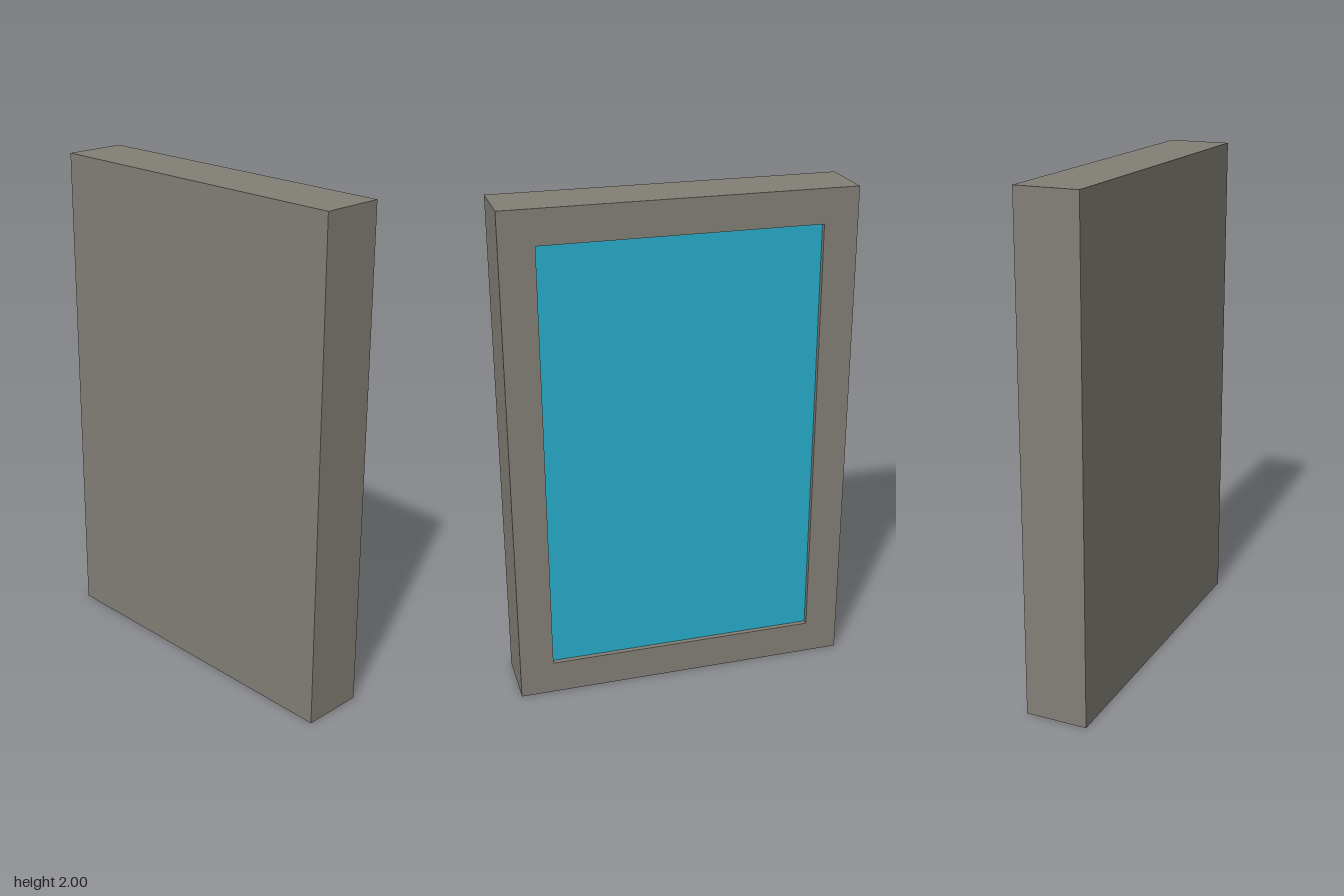
import * as THREE from 'three';

const HEIGHT = 2, HALF_WIDTH = 0.68, HALF_DEPTH = 0.125;
const BORDER = 0.135, RECESS = 0.02;

// Rectangle of four corners at a given x, counter-clockwise seen from +x
function rectangle(x, inset) {
  const z = HALF_WIDTH - inset, low = inset, high = HEIGHT - inset;
  return [[x, low, z], [x, low, -z], [x, high, -z], [x, high, z]];
}

// Casing skin: closed back, outer sides, front border, then the recess walls
function casingGeometry() {
  const loops = [
    rectangle(-HALF_DEPTH, 0),
    rectangle(HALF_DEPTH, 0),
    rectangle(HALF_DEPTH, BORDER),
    rectangle(HALF_DEPTH - RECESS, BORDER),
  ];
  const positions = [];
  const quad = (a, b, c, d) => positions.push(...a, ...b, ...c, ...a, ...c, ...d);

  const [p, q, r, s] = loops[0];
  quad(s, r, q, p);
  for (let i = 0; i < loops.length - 1; i++) {
    for (let j = 0; j < 4; j++) {
      const k = (j + 1) % 4;
      quad(loops[i][j], loops[i][k], loops[i + 1][k], loops[i + 1][j]);
    }
  }

  const geometry = new THREE.BufferGeometry();
  geometry.setAttribute('position', new THREE.Float32BufferAttribute(positions, 3));
  geometry.computeVertexNormals();
  return geometry;
}

export function createModel() {
  const model = new THREE.Group();
  model.name = 'framedPanel';

  const casing = new THREE.Mesh(
    casingGeometry(),
    new THREE.MeshStandardMaterial({ color: 0x827f76 })
  );
  casing.name = 'casing';
  model.add(casing);

  // Blue panel set back inside the border, facing +x
  const panel = new THREE.Mesh(
    new THREE.PlaneGeometry(2 * (HALF_WIDTH - BORDER), HEIGHT - 2 * BORDER),
    new THREE.MeshStandardMaterial({ color: 0x27acca })
  );
  panel.name = 'panel';
  panel.rotation.y = Math.PI / 2;
  panel.position.set(HALF_DEPTH - RECESS, HEIGHT / 2, 0);
  model.add(panel);

  return model;
}
